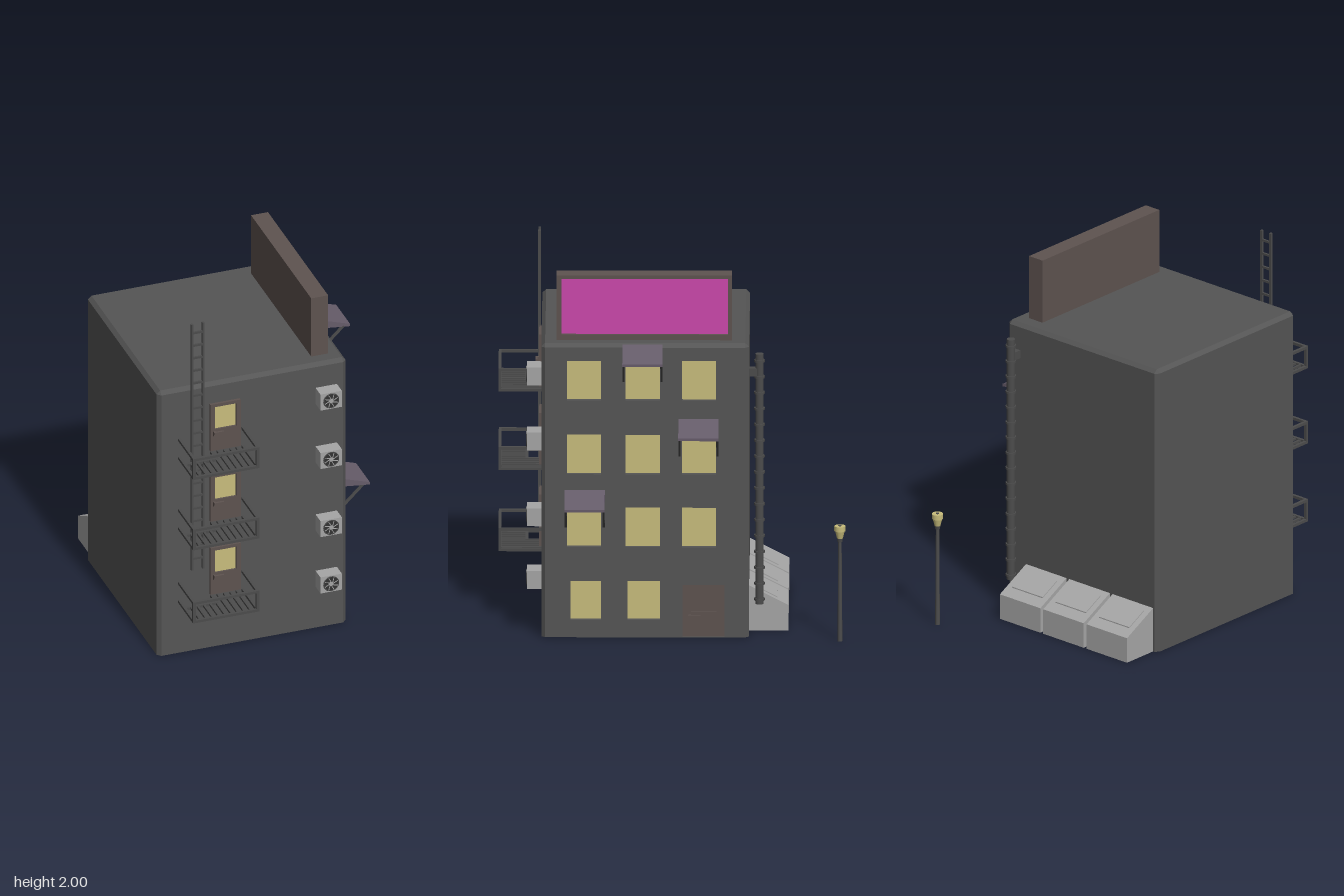
import * as THREE from 'three';
import { ConvexGeometry } from 'three/addons/geometries/ConvexGeometry.js';

const V = (x, y, z) => new THREE.Vector3(x, y, z);
const mat = (color) => new THREE.MeshStandardMaterial({ color });
const M = {
  wall: mat(0x555555), metal: mat(0x4c4c4c), dark: mat(0x333333), grey: mat(0xa6a6a6),
  glass: mat(0xc8bd7c), brown: mat(0x5e5350), awning: mat(0x665c6a), sign: mat(0xcb48ac),
};

function add(parent, name, geo, material) {
  const m = new THREE.Mesh(geo, material);
  m.name = name;
  parent.add(m);
  return m;
}
function group(parent, name) {
  const g = new THREE.Group();
  g.name = name;
  parent.add(g);
  return g;
}
// Box given by its two extreme corners
function box(parent, name, material, x0, x1, y0, y1, z0, z1) {
  const g = new THREE.BoxGeometry(x1 - x0, y1 - y0, z1 - z0);
  g.translate((x0 + x1) / 2, (y0 + y1) / 2, (z0 + z1) / 2);
  return add(parent, name, g, material);
}
// Square bar between two points
function bar(parent, name, material, a, b, t) {
  const m = add(parent, name, new THREE.BoxGeometry(t, t, a.distanceTo(b)), material);
  m.position.copy(a).add(b).multiplyScalar(0.5);
  m.lookAt(b);
  return m;
}
function cyl(parent, name, material, r0, r1, y0, y1, x, z, n = 16) {
  const m = add(parent, name, new THREE.CylinderGeometry(r1, r0, y1 - y0, n), material);
  m.position.set(x, (y0 + y1) / 2, z);
  return m;
}
// Flat panel with rectangular holes; rectangles are [u0, u1, v0, v1]
function panel(rect, holes, depth) {
  const pts = ([a, b, c, d]) => [[a, c], [b, c], [b, d], [a, d]].map((p) => new THREE.Vector2(...p));
  const s = new THREE.Shape(pts(rect));
  holes.forEach((h) => s.holes.push(new THREE.Path(pts(h))));
  return new THREE.ExtrudeGeometry(s, { depth, bevelEnabled: false });
}
// Same panel facing +x, with rectangles in z and y
function sidePanel(rect, holes, depth, x) {
  const flip = ([a, b, c, d]) => [-b, -a, c, d];
  return panel(flip(rect), holes.map(flip), depth).rotateY(Math.PI / 2).translate(x, 0, 0);
}

const X0 = -0.62, X1 = 0.44, Z0 = -0.41, Z1 = 0.685, C = 0.02, IN = 0.41;

function building(root) {
  const g = group(root, 'building');
  // chamfered plan, notched on the right for the window wall
  const plan = [[X0 + C, Z0], [X1 - C, Z0], [X1, Z0 + C], [IN, Z0 + C], [IN, Z1 - C], [X1, Z1 - C],
    [X1 - C, Z1], [X0 + C, Z1], [X0, Z1 - C], [X0, Z0 + C]];
  const shape = new THREE.Shape(plan.map(([x, z]) => new THREE.Vector2(x, -z)));
  add(g, 'walls', new THREE.ExtrudeGeometry(shape, { depth: 1.59, bevelEnabled: false }).rotateX(-Math.PI / 2), M.wall);
  const cap = [];
  plan.forEach(([x, z], i) => {
    if (i !== 3 && i !== 4) cap.push(V(x, 1.59, z));
  });
  for (const x of [X0 + C, X1 - C]) for (const z of [Z0 + C, Z1 - C]) cap.push(V(x, 1.61, z));
  add(g, 'roof', new ConvexGeometry(cap), M.wall);

  // recessed windows and street door
  const wins = [[0.37, 0.53, 0.095, 0.31], [0.06, 0.23, 0.095, 0.31]];
  for (const y of [0.495, 0.895, 1.3]) for (const z of [0.37, 0.06, -0.236]) wins.push([z, z + 0.18, y, y + 0.217]);
  const door = [-0.28, -0.06, 0.003, 0.287];
  add(g, 'windowWall', sidePanel([Z0 + C, Z1 - C, 0, 1.59], [...wins, door], X1 - IN, IN), M.wall);
  wins.forEach(([a, b, c, d]) => box(g, 'window', M.glass, IN, IN + 0.004, c, d, a, b));
  add(g, 'streetDoor', sidePanel(door, [[-0.24, -0.105, 0.14, 0.265]], 0.025, IN), M.brown);
  box(g, 'doorInset', M.brown, IN, IN + 0.015, 0.14, 0.265, -0.24, -0.105);
  box(g, 'doorHandle', M.brown, 0.435, 0.455, 0.095, 0.125, -0.105, -0.09);
  box(g, 'doorHandle', M.brown, 0.445, 0.46, 0.11, 0.125, -0.155, -0.09);
}

function balcony(root, y) {
  const g = group(root, 'balcony');
  const l = -0.498, r = -0.142, zf = 0.907, t = 0.015, top = y + 0.112;
  for (const h of [y, top]) {
    bar(g, 'frontRail', M.metal, V(l - t / 2, h, zf), V(r + t / 2, h, zf), t);
    for (const x of [l, r]) bar(g, 'sideRail', M.metal, V(x, h, Z1), V(x, h, zf), t);
  }
  for (const x of [l, r]) bar(g, 'post', M.metal, V(x, y, zf), V(x, top, zf), t);
  // floor slats, cut short around the ladder opening
  for (let i = 1; i < 10; i++) {
    const x = l + (i * (r - l)) / 10;
    bar(g, 'slat', M.metal, V(x, y, x < -0.33 ? 0.765 : Z1), V(x, y, zf), 0.012);
  }
  bar(g, 'hatchEdge', M.metal, V(l, y, 0.765), V(-0.32, y, 0.765), t);
  bar(g, 'hatchEdge', M.metal, V(-0.32, y, Z1), V(-0.32, y, 0.772), t);
  // balcony door
  const d = group(g, 'balconyDoor');
  const b = y + 0.015;
  add(d, 'door', panel([-0.33, -0.16, b, y + 0.298], [[-0.305, -0.185, y + 0.145, y + 0.28]], 0.02).translate(0, 0, Z1 - 0.005), M.brown);
  box(d, 'glass', M.glass, -0.305, -0.185, y + 0.145, y + 0.28, Z1, Z1 + 0.005);
  box(d, 'handle', M.brown, -0.315, -0.26, y + 0.122, y + 0.135, 0.708, 0.72);
  box(d, 'handle', M.brown, -0.315, -0.303, y + 0.108, y + 0.135, 0.7, 0.715);
}

function ladder(root) {
  const g = group(root, 'ladder');
  for (const x of [-0.434, -0.371]) box(g, 'ladderRail', M.metal, x - 0.006, x + 0.006, 0.5, 2, 0.692, 0.706);
  for (let y = 1.945; y > 0.5; y -= 0.0765) box(g, 'rung', M.metal, -0.434, -0.371, y - 0.006, y + 0.006, 0.694, 0.704);
}

function airConditioner(root, y) {
  const g = group(root, 'airConditioner');
  box(g, 'casing', M.grey, -0.06, 0.06, -0.049, 0.049, 0, 0.076);
  const disc = (name, r, z, m) => add(g, name, new THREE.CylinderGeometry(r, r, 0.004, 24).rotateX(Math.PI / 2).translate(0, 0, z), m);
  disc('fanOpening', 0.042, 0.076, M.dark);
  disc('fanHub', 0.012, 0.079, M.grey);
  add(g, 'fanRing', new THREE.TorusGeometry(0.042, 0.003, 6, 24).translate(0, 0, 0.077), M.metal);
  for (let i = 0; i < 8; i++) {
    const a = (i * Math.PI) / 4;
    bar(g, 'fanBlade', M.grey, V(Math.cos(a) * 0.01, Math.sin(a) * 0.01, 0.078), V(Math.cos(a + 0.4) * 0.039, Math.sin(a + 0.4) * 0.039, 0.078), 0.004);
  }
  g.position.set(0.325, y, Z1);
}

function awning(root, top, z) {
  const g = group(root, 'awning');
  const profile = [[0, 0], [0.175, -0.058], [0.175, -0.072], [0, -0.052]];
  const pts = [];
  for (const [x, y] of profile) for (const s of [-1, 1]) pts.push(V(x, y, s * 0.106));
  add(g, 'canopy', new ConvexGeometry(pts), M.awning);
  for (const s of [-1, 1]) bar(g, 'strut', M.metal, V(0, -0.2, s * 0.1), V(0.14, -0.064, s * 0.1), 0.012);
  g.position.set(X1, top, z);
}

function billboard(root) {
  const g = group(root, 'billboard');
  box(g, 'back', M.brown, 0.27, 0.345, 1.6, 1.965, -0.32, 0.605);
  add(g, 'frame', sidePanel([-0.32, 0.605, 1.6, 1.965], [[-0.3, 0.58, 1.64, 1.945]], 0.02, 0.345), M.brown);
  box(g, 'screen', M.sign, 0.345, 0.35, 1.64, 1.945, -0.3, 0.58);
}

function drainPipe(root) {
  const g = group(root, 'drainPipe');
  const x = 0.364, z = -0.465;
  cyl(g, 'pipe', M.metal, 0.022, 0.022, 0.165, 1.537, x, z);
  for (let i = 0; i < 16; i++) {
    const y = 0.19 + i * 0.0872;
    cyl(g, 'pipeRing', M.metal, 0.028, 0.028, y - 0.006, y + 0.006, x, z);
  }
  box(g, 'bracket', M.metal, x - 0.018, x + 0.018, 1.415, 1.46, z, Z0);
}

function dumpster(root, x) {
  const g = group(root, 'dumpster');
  const hull = (name, x0, x1, prof) => {
    const pts = [];
    for (const [z, y] of prof) pts.push(V(x0, y, z), V(x1, y, z));
    add(g, name, new ConvexGeometry(pts), M.grey);
  };
  hull('bin', x, x + 0.286, [[-0.41, 0], [-0.41, 0.248], [-0.617, 0.14], [-0.617, 0]]);
  // raised lid lying on the slope
  const slope = (z, up) => [z, 0.248 + ((z + 0.41) * 0.108) / 0.207 + up];
  hull('lid', x + 0.035, x + 0.25, [slope(-0.445, 0.006), slope(-0.56, 0.006), slope(-0.56, -0.01), slope(-0.445, -0.01)]);
}

function streetLamp(root) {
  const g = group(root, 'streetLamp');
  const x = 0.503, z = -0.89;
  cyl(g, 'pole', M.metal, 0.013, 0.009, 0, 0.56, x, z);
  cyl(g, 'collar', M.metal, 0.013, 0.016, 0.545, 0.565, x, z);
  cyl(g, 'shade', M.glass, 0.016, 0.026, 0.565, 0.605, x, z);
  cyl(g, 'lampCap', M.glass, 0.03, 0.03, 0.605, 0.632, x, z);
  cyl(g, 'knob', M.metal, 0.009, 0.009, 0.63, 0.635, x, z);
}

export function createModel() {
  const root = new THREE.Group();
  root.name = 'apartmentBlock';
  building(root);
  [0.312, 0.758, 1.188].forEach((y) => balcony(root, y));
  ladder(root);
  [0.298, 0.642, 1.058, 1.415].forEach((y) => airConditioner(root, y));
  [[1.607, 0.151], [1.2, -0.144], [0.808, 0.456]].forEach(([y, z]) => awning(root, y, z));
  billboard(root);
  drainPipe(root);
  [-0.592, -0.286, 0.02].forEach((x) => dumpster(root, x));
  streetLamp(root);
  return root;
}
